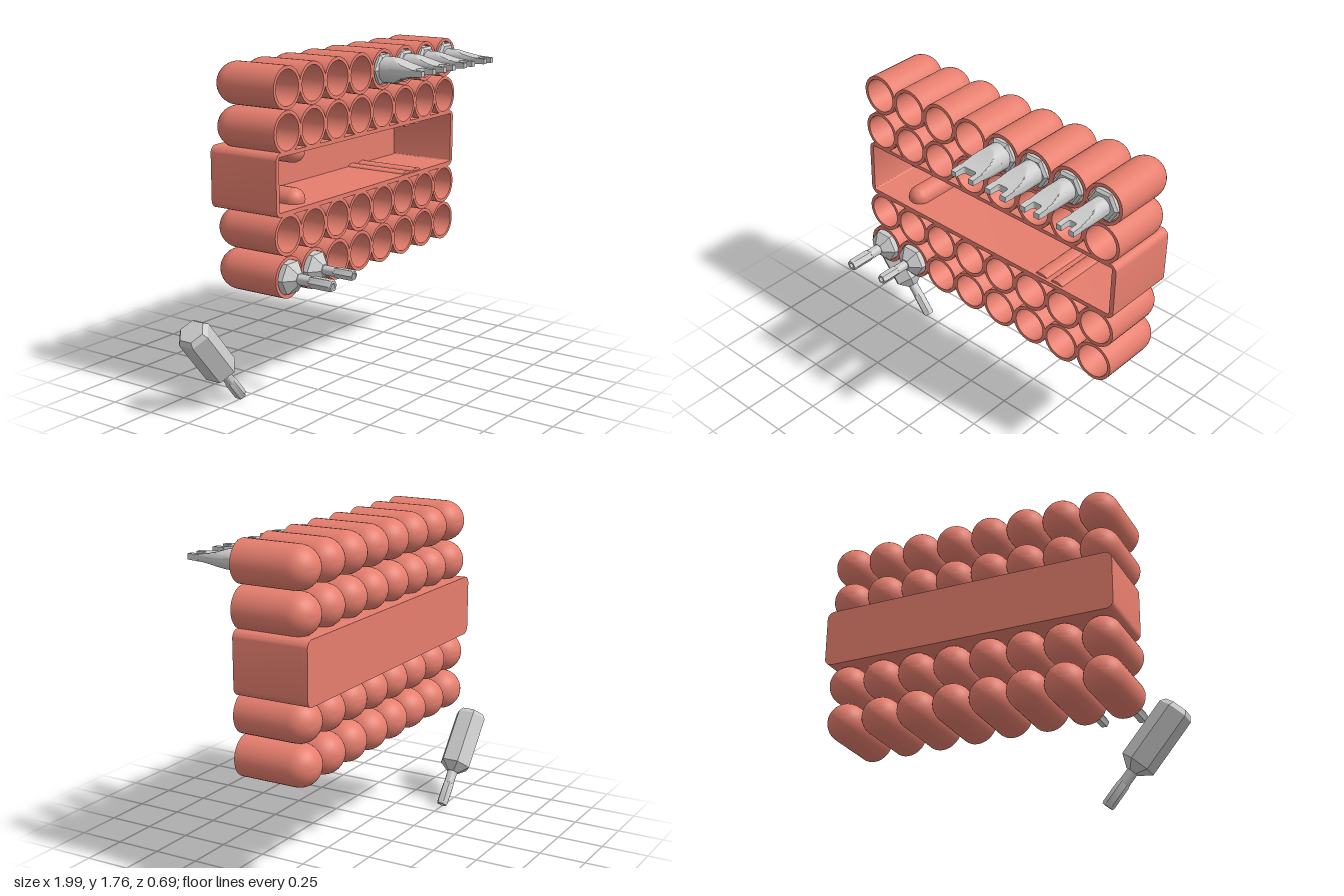
import * as THREE from 'three';
import { toCreasedNormals } from 'three/addons/utils/BufferGeometryUtils.js';

const red = new THREE.MeshStandardMaterial({ color: 0xe67e6e });
const steel = new THREE.MeshStandardMaterial({ color: 0xcccccc });
const FRONT = 0.065, BACK = -0.345;
const COLS = Array.from({ length: 8 }, (_, i) => -0.577 + i * 0.2086);
const ROWS = [1.652, 1.435, 0.925, 0.708];

const v = (x, y) => new THREE.Vector2(x, y);
const crease = (g, angle = 0.6) => toCreasedNormals(g, angle);

function add(parent, name, geometry, material, x = 0, y = 0, z = 0) {
  const mesh = new THREE.Mesh(geometry, material);
  mesh.name = name;
  mesh.position.set(x, y, z);
  parent.add(mesh);
  return mesh;
}

// Lathe around y, from [radius, height] pairs
const lathe = (pairs, sides) => new THREE.LatheGeometry(pairs.map(p => v(...p)), sides);

// Round-bottomed socket, open towards +z
function socketGeometry() {
  const R = 0.108, r = 0.09, c = BACK + R, pts = [];
  for (let i = 0; i <= 10; i++) {
    const a = i / 10 * Math.PI / 2;
    pts.push([R * Math.sin(a), c - R * Math.cos(a)]);
  }
  pts.push([R, FRONT], [r, FRONT]);
  for (let i = 8; i >= 0; i--) {
    const a = i / 8 * Math.PI / 2;
    pts.push([r * Math.sin(a), c - r * Math.cos(a)]);
  }
  return crease(lathe(pts, 32).rotateX(Math.PI / 2));
}

function roundedRect(path, x0, y0, x1, y1, r) {
  path.absarc(x1 - r, y0 + r, r, -Math.PI / 2, 0);
  path.absarc(x1 - r, y1 - r, r, 0, Math.PI / 2);
  path.absarc(x0 + r, y1 - r, r, Math.PI / 2, Math.PI);
  path.absarc(x0 + r, y0 + r, r, Math.PI, Math.PI * 1.5);
  path.closePath();
  return path;
}

// Open storage tray with ridges on its upper and lower walls
function makeTray() {
  const tray = new THREE.Group();
  tray.name = 'tray';
  const outline = () => roundedRect(new THREE.Shape(), -0.672, 1.022, 0.982, 1.342, 0.04);
  const walls = outline();
  walls.holes.push(roundedRect(new THREE.Path(), -0.648, 1.045, 0.957, 1.322, 0.008));
  const floorZ = BACK + 0.025;
  const extrude = (s, depth) =>
    crease(new THREE.ExtrudeGeometry(s, { depth, bevelEnabled: false, curveSegments: 6 }));
  add(tray, 'trayWalls', extrude(walls, FRONT - floorZ), red, 0, 0, floorZ);
  add(tray, 'trayFloor', extrude(outline(), floorZ - BACK), red, 0, 0, BACK);

  for (const side of [-1, 1]) {
    const wall = side < 0 ? 1.045 : 1.322;
    // Big ridge with a rounded end; clamped so it stays inside the wall
    const big = new THREE.CapsuleGeometry(0.06, 0.26, 8, 20).rotateX(Math.PI / 2);
    const p = big.attributes.position;
    for (let i = 0; i < p.count; i++) {
      const y = p.getY(i) * side;
      p.setY(i, side * Math.min(y, 0.025));
      p.setZ(i, Math.max(p.getZ(i), -0.15));
    }
    add(tray, 'stopRidge', crease(big), red, -0.405, wall - side * 0.015, -0.165);
    // Pair of shallow ridges
    for (const x of [0.52, 0.62]) {
      const small = new THREE.CylinderGeometry(0.036, 0.036, 0.37, 20).rotateX(Math.PI / 2);
      small.scale(1, 0.4, 1);
      add(tray, 'smallRidge', crease(small), red, x, wall, -0.135);
    }
  }
  return tray;
}

// Hexagonal shank along +y, chamfered at both ends
function shank(endRadius) {
  return lathe([[0, 0], [0.07, 0], [0.09, 0.025], [0.09, 0.333],
    [endRadius, 0.333 + (0.09 - endRadius) * 0.8], [0, 0.333 + (0.09 - endRadius) * 0.8]], 6);
}

// Bit with a round neck and a six-lobed hollow tip
function makeStarBit(length, r) {
  const bit = new THREE.Group();
  bit.name = 'starBit';
  add(bit, 'hexShank', crease(shank(0.034), 0.2), steel);
  add(bit, 'neck', crease(lathe([[r, 0.36], [r, 0.45], [0, 0.455]], 24)), steel);
  const tip = lathe([[r, 0.44], [r * 1.15, 0.455], [r * 1.15, length - 0.012],
    [r, length], [0.014, length], [0.014, length - 0.05], [0, length - 0.05]], 36);
  const p = tip.attributes.position;
  for (let i = 0; i < p.count; i++) {
    const x = p.getX(i), z = p.getZ(i);
    if (Math.hypot(x, z) < 0.02) continue;
    const k = 0.92 + 0.08 * Math.cos(6 * Math.atan2(x, z));
    p.setX(i, x * k);
    p.setZ(i, z * k);
  }
  add(bit, 'starTip', crease(tip), steel);
  return bit;
}

// Bit with a hollow-ground blade and two prongs, facing +z
function makeForkBit(w, slot) {
  const bit = new THREE.Group();
  bit.name = 'forkBit';
  const z0 = 0.14, z1 = 0.345, root = 0.285, t = 0.014;
  const half = z => t + (w - t) * (1 - Math.max(0, (z - z0) / (z1 - z0))) ** 2;
  const hex = shank(0.075).rotateY(Math.PI / 2).rotateX(Math.PI / 2);
  add(bit, 'hexShank', crease(hex, 0.2), steel, 0, 0, -0.262);
  add(bit, 'neck', crease(new THREE.CylinderGeometry(w, w, 0.1, 32).rotateX(Math.PI / 2)),
    steel, 0, 0, z0 - 0.05);

  // Round bar clamped between two concave faces
  const blade = new THREE.CylinderGeometry(w, w, root - z0, 48, 12).rotateX(Math.PI / 2);
  blade.translate(0, 0, (root + z0) / 2);
  let p = blade.attributes.position;
  for (let i = 0; i < p.count; i++) {
    const h = half(p.getZ(i));
    p.setY(i, THREE.MathUtils.clamp(p.getY(i), -h, h));
  }
  add(bit, 'blade', crease(blade, 0.5), steel);

  // Forked end, tapering to the tip
  const c = 0.012, s = new THREE.Shape();
  s.moveTo(-w, root - 0.002);
  s.lineTo(w, root - 0.002);
  s.lineTo(w, z1);
  s.lineTo(slot, z1);
  s.lineTo(slot, root + c);
  s.quadraticCurveTo(slot, root, slot - c, root);
  s.lineTo(c - slot, root);
  s.quadraticCurveTo(-slot, root, -slot, root + c);
  s.lineTo(-slot, z1);
  s.lineTo(-w, z1);
  s.closePath();
  const fork = new THREE.ExtrudeGeometry(s, { depth: 2, bevelEnabled: false, curveSegments: 5 });
  fork.translate(0, 0, -1).rotateX(Math.PI / 2);
  p = fork.attributes.position;
  for (let i = 0; i < p.count; i++) p.setY(i, p.getY(i) * half(p.getZ(i)));
  add(bit, 'prongs', crease(fork), steel);
  return bit;
}

export function createModel() {
  const model = new THREE.Group();
  model.name = 'bitHolder';

  // Sockets in four rows around the tray
  const socket = socketGeometry();
  for (const y of ROWS) for (const x of COLS) add(model, 'socket', socket, red, x, y, 0);
  model.add(makeTray());

  // Fork bits in the top row
  [[0.07, 0.04], [0.064, 0.03], [0.058, 0.026], [0.05, 0.022]].forEach(([w, slot], i) => {
    const bit = makeForkBit(w, slot);
    bit.position.set(COLS[4 + i], ROWS[0], 0);
    model.add(bit);
  });

  // Star bits in the bottom row
  [[0.58, 0.028], [0.558, 0.025]].forEach(([length, r], i) => {
    const bit = makeStarBit(length, r);
    bit.rotation.set(Math.PI / 2, Math.PI / 2, 0);
    bit.position.set(COLS[i], ROWS[3], -0.245);
    model.add(bit);
  });

  // Loose star bit lying below the holder
  const loose = makeStarBit(0.58, 0.028);
  loose.name = 'looseBit';
  loose.rotation.z = Math.atan2(-0.64, -0.768);
  loose.position.set(-0.95, 0.465, -0.256);
  model.add(loose);
  return model;
}
